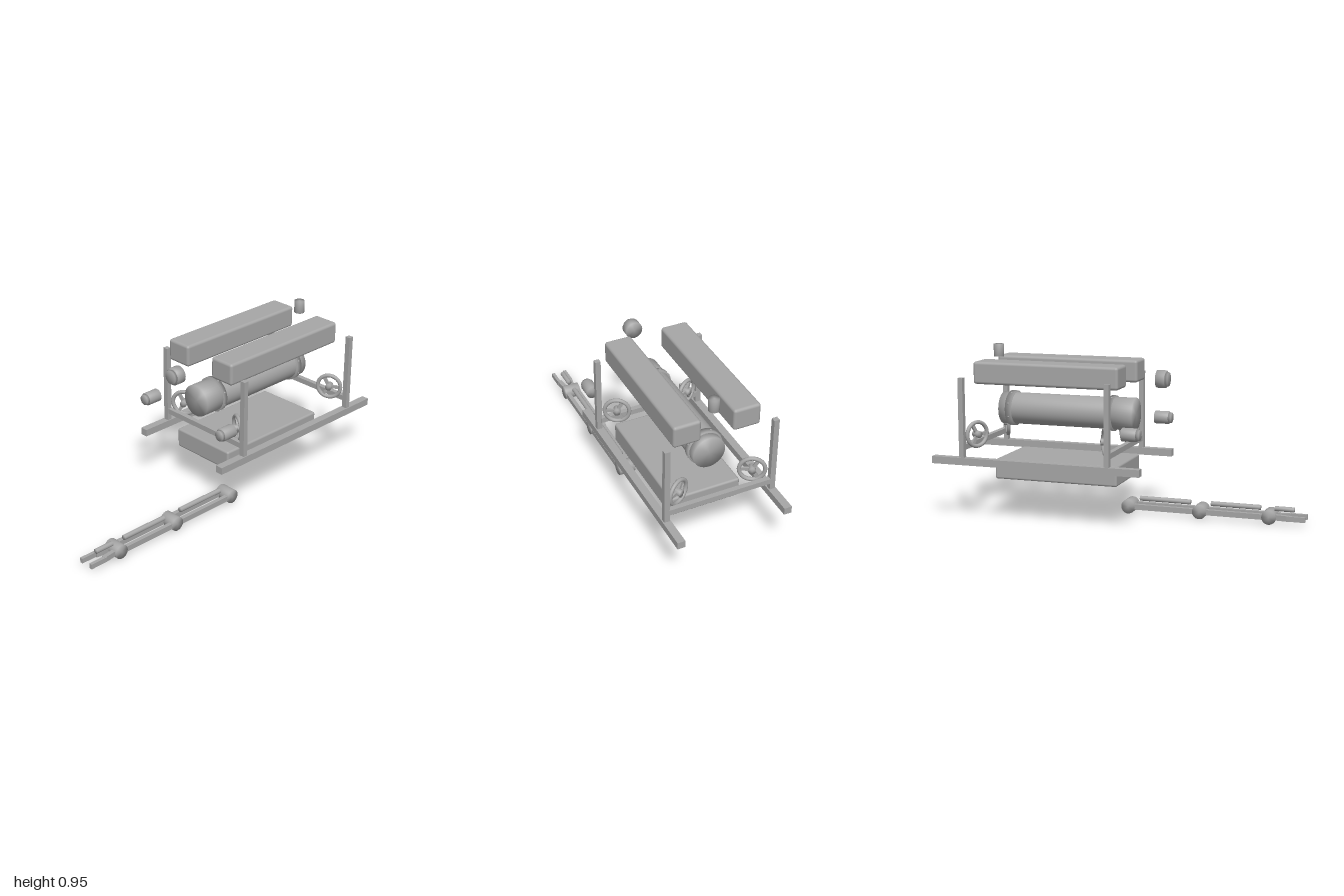
import * as THREE from 'three';
import { mergeVertices } from 'three/addons/utils/BufferGeometryUtils.js';
import { RoundedBoxGeometry } from 'three/addons/geometries/RoundedBoxGeometry.js';

const grey = new THREE.MeshStandardMaterial({ color: 0xa6a6a6 });
grey.name = 'grey';

function add(parent, name, geo, x = 0, y = 0, z = 0) {
  const mesh = new THREE.Mesh(geo, grey);
  mesh.name = name;
  mesh.position.set(x, y, z);
  parent.add(mesh);
  return mesh;
}

const box = (w, h, d) => new THREE.BoxGeometry(w, h, d);

// Cylinder along one axis, shaded smoothly over its rims
function rod(axis, r, length, sides = 32) {
  let geo = new THREE.CylinderGeometry(r, r, length, sides);
  if (axis === 'z') geo.rotateX(Math.PI / 2);
  if (axis === 'x') geo.rotateZ(Math.PI / 2);
  geo.deleteAttribute('normal');
  geo.deleteAttribute('uv');
  geo = mergeVertices(geo);
  geo.computeVertexNormals();
  return geo;
}

// Cylinder along z between two depths
function rodZ(parent, name, r, x, y, z0, z1, sides) {
  return add(parent, name, rod('z', r, z1 - z0, sides), x, y, (z0 + z1) / 2);
}

// Ring-guarded propeller with three blades
function makeThruster() {
  const g = new THREE.Group();
  g.name = 'thruster';
  add(g, 'guardRing', new THREE.TorusGeometry(0.067, 0.011, 12, 36));
  add(g, 'hub', rod('z', 0.019, 0.045, 20));
  for (let i = 0; i < 3; i++) {
    const blade = box(0.064, 0.018, 0.012);
    blade.translate(0.034, 0, 0);
    add(g, 'blade', blade).rotation.z = (i * Math.PI * 2) / 3;
  }
  return g;
}

export function createModel() {
  const model = new THREE.Group();
  model.name = 'underwaterVehicle';

  // Pressure hull with end sections and bolted flanges
  const hull = new THREE.Group();
  hull.name = 'pressureHull';
  hull.position.y = 0.59;
  model.add(hull);
  rodZ(hull, 'hullBody', 0.088, 0, 0, -0.64, -0.045, 40);
  rodZ(hull, 'frontCap', 0.09, 0, 0, -0.045, 0.08, 40);
  rodZ(hull, 'rearCap', 0.09, 0, 0, -0.7, -0.64, 40);
  for (const [z0, z1] of [[-0.06, -0.037], [-0.657, -0.623]]) {
    rodZ(hull, 'flange', 0.098, 0, 0, z0, z1, 40);
    for (let i = 0; i < 8; i++) {
      const a = ((i + 0.5) * Math.PI) / 4;
      add(hull, 'bolt', new THREE.SphereGeometry(0.006, 8, 6),
        0.096 * Math.cos(a), 0.096 * Math.sin(a), (z0 + z1) / 2);
    }
  }

  // Ballast and electronics box below
  add(model, 'lowerBox', new RoundedBoxGeometry(0.4, 0.112, 0.71, 2, 0.012), 0, 0.276, -0.32);

  // Left and right sides: floats, skids, posts, thrusters and lamps
  for (const s of [-1, 1]) {
    add(model, 'float', new RoundedBoxGeometry(0.152, 0.124, 0.835, 2, 0.016), s * 0.165, 0.811, -0.362);
    add(model, 'skid', box(0.043, 0.04, 1.2), s * 0.3, 0.33, -0.4);
    for (const [postZ, thrusterZ, turn] of [[0.017, -0.027, -1], [-0.823, -0.775, 1]]) {
      add(model, 'post', box(0.03, 0.445, 0.028), s * 0.3, 0.567, postZ);
      const thruster = makeThruster();
      thruster.position.set(s * 0.21, 0.467, thrusterZ);
      thruster.rotation.y = s * turn * 0.48;
      model.add(thruster);
    }
    rodZ(model, 'lamp', 0.036, s * 0.295, 0.53, 0.1, 0.18);
    rodZ(model, 'lampLens', 0.029, s * 0.295, 0.53, 0.18, 0.197);
  }
  for (const z of [0.012, -0.825]) add(model, 'crossbar', box(0.58, 0.03, 0.028), 0, 0.405, z);

  // Camera in front and beacon above the tail
  rodZ(model, 'camera', 0.048, 0, 0.79, 0.2, 0.25);
  rodZ(model, 'cameraLens', 0.038, 0, 0.79, 0.25, 0.265);
  add(model, 'beacon', rod('y', 0.029, 0.07, 24), 0, 0.913, -0.73);

  // Jointed manipulator arm
  const arm = new THREE.Group();
  arm.name = 'manipulatorArm';
  arm.position.x = 0.155;
  model.add(arm);
  for (const z of [-0.003, 0.41, 0.8]) add(arm, 'joint', rod('x', 0.04, 0.092, 28), 0, 0.042, z);
  for (const [z0, z1] of [[0.056, 0.35], [0.468, 0.747], [0.826, 0.934]]) {
    rodZ(arm, 'hydraulicRod', 0.014, 0, 0.085, z0, z1, 16);
  }
  for (const s of [-1, 1]) {
    add(arm, 'rail', box(0.024, 0.03, 0.8), s * 0.033, 0.042, 0.4);
    add(arm, 'gripperBase', box(0.024, 0.03, 0.1), s * 0.027, 0.042, 0.86).rotation.y = s * 0.12;
    add(arm, 'gripperFinger', box(0.018, 0.028, 0.1), s * 0.037, 0.042, 0.95);
  }

  return model;
}
